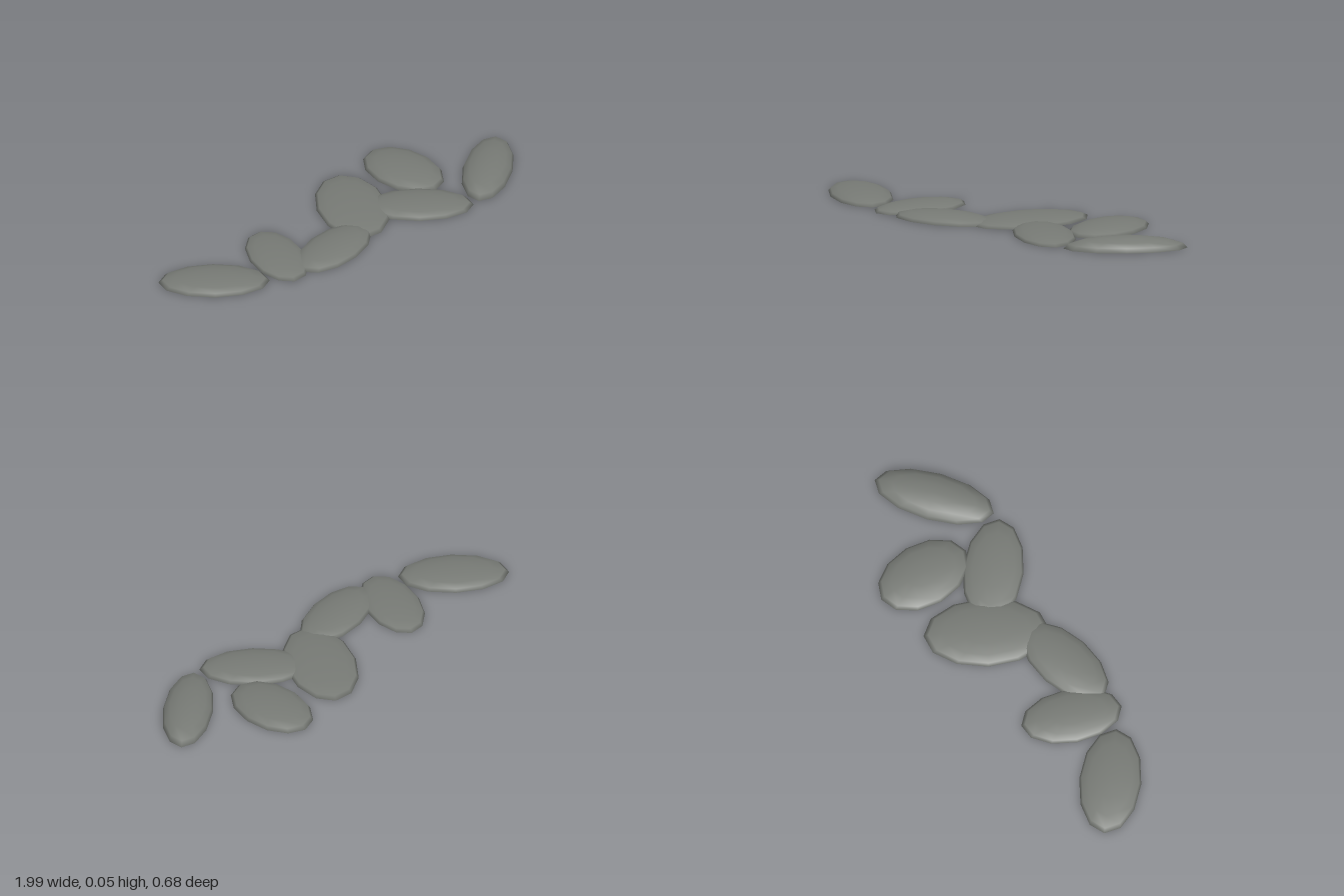
import * as THREE from 'three';

// One row per stone: centre x, centre z, half length, half width, height, long-axis direction (x, z)
const STONES = [
  [-0.793, -0.05, 0.25, 0.14, 0.037, 0.73, 0.69],
  [-0.44, 0.0, 0.23, 0.128, 0.031, 0.43, -0.9],
  [-0.215, 0.133, 0.243, 0.126, 0.038, 0.985, -0.17],
  [0.108, -0.062, 0.283, 0.163, 0.031, 0.557, -0.83],
  [0.325, 0.142, 0.247, 0.137, 0.034, 0.72, 0.69],
  [0.497, -0.12, 0.223, 0.15, 0.041, 0.1, -0.995],
  [0.766, 0.145, 0.279, 0.113, 0.055, 0.807, -0.59],
];

export function createModel() {
  const group = new THREE.Group();
  group.name = 'steppingStones';

  const stoneGrey = new THREE.MeshStandardMaterial({ color: 0x777a75, side: THREE.DoubleSide });
  stoneGrey.name = 'stone grey';

  // Shared open dome, squashed and turned for each stone
  const dome = new THREE.SphereGeometry(1, 12, 4, 0, Math.PI * 2, 0, Math.PI / 2);

  STONES.forEach(([x, z, length, width, height, dx, dz], i) => {
    const stone = new THREE.Mesh(dome, stoneGrey);
    stone.name = `stone${i + 1}`;
    stone.position.set(x, 0, z);
    stone.scale.set(length, height, width);
    stone.rotation.y = Math.atan2(-dz, dx);
    group.add(stone);
  });

  return group;
}
